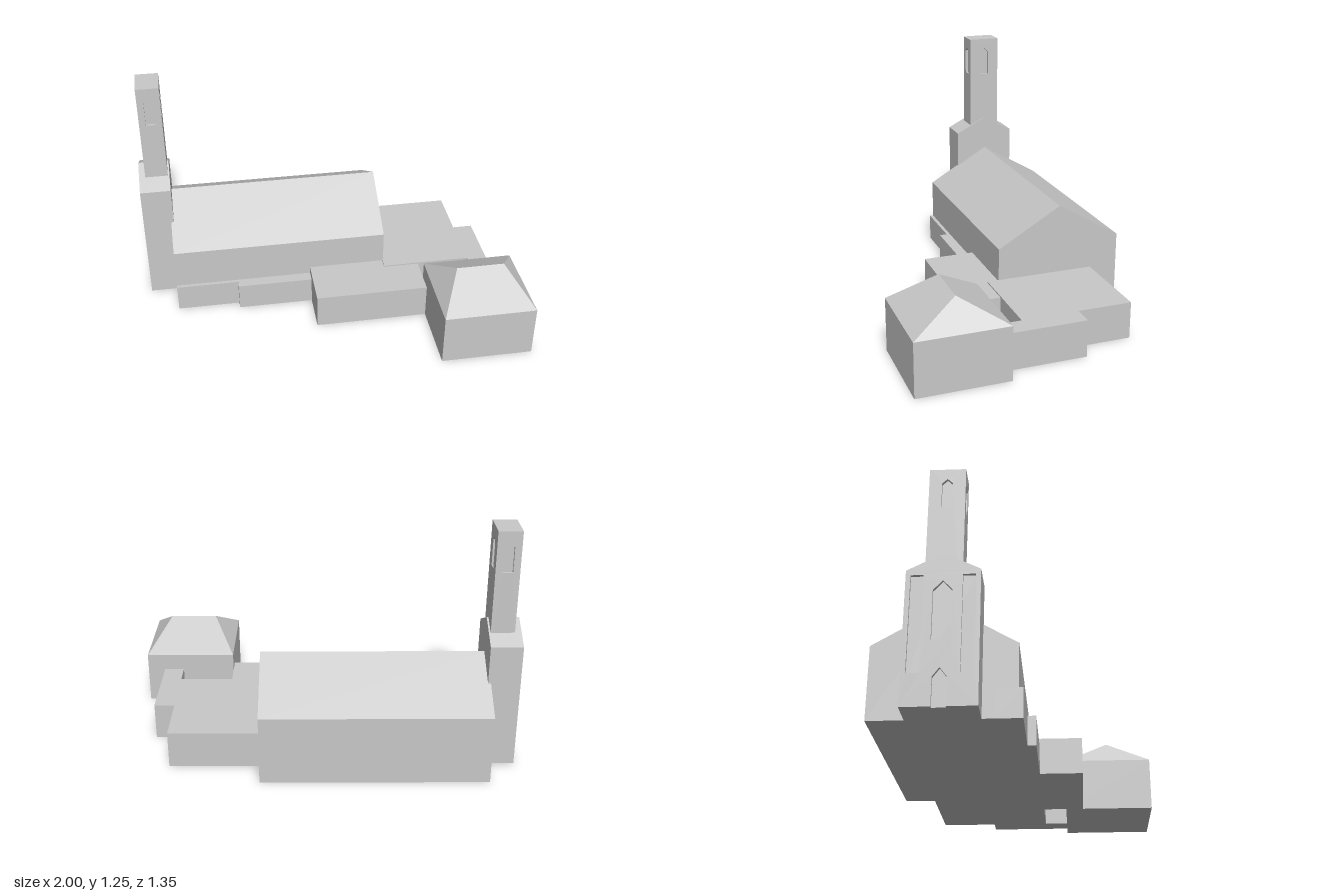
import * as THREE from 'three';
import { ConvexGeometry } from 'three/addons/geometries/ConvexGeometry.js';

const RECESS = 0.015;

export function createModel() {
  const model = new THREE.Group();
  model.name = 'church';
  const stone = new THREE.MeshStandardMaterial({ color: 0xc8c8c8 });
  stone.name = 'pale grey stone';

  const add = (name, geometry, parent = model) => {
    const mesh = new THREE.Mesh(geometry, stone);
    mesh.name = name;
    parent.add(mesh);
    return mesh;
  };

  // box given by its extents on each axis
  const block = (name, x0, x1, y0, y1, z0, z1, parent) =>
    add(name, new THREE.BoxGeometry(x1 - x0, y1 - y0, z1 - z0), parent)
      .position.set((x0 + x1) / 2, (y0 + y1) / 2, (z0 + z1) / 2);

  const outline = pts => pts.map(([a, b]) => new THREE.Vector2(a, b));

  // extrudes a (z, y) outline from xEnd towards -x
  const acrossX = (shape, xEnd, depth) =>
    new THREE.ExtrudeGeometry(shape, { depth, bevelEnabled: false })
      .rotateY(-Math.PI / 2).translate(xEnd, 0, 0);

  const gable = (z0, z1, eave, ridge) =>
    [[z0, 0], [z1, 0], [z1, eave], [(z0 + z1) / 2, ridge], [z0, eave]];

  const pointedArch = (c, halfWidth, y0, shoulder, top) => outline([
    [c - halfWidth, y0], [c + halfWidth, y0], [c + halfWidth, shoulder],
    [c, top], [c - halfWidth, shoulder]]);

  // nave with its pitched roof
  add('nave', acrossX(new THREE.Shape(outline(gable(-0.675, 0.01, 0.37, 0.572))), 0.32, 1.17));

  // tall entrance front, with a recessed outer layer
  const entrance = new THREE.Group();
  entrance.name = 'entranceFront';
  model.add(entrance);
  const z0 = -0.5, z1 = -0.155, mid = (z0 + z1) / 2;
  add('entranceBody', acrossX(new THREE.Shape(outline(gable(z0, z1, 0.675, 0.763))),
    -0.835, 0.165 - RECESS), entrance);
  const face = new THREE.Shape(outline([
    [z0, 0], [mid - 0.033, 0], [mid - 0.033, 0.14], [mid, 0.185], [mid + 0.033, 0.14],
    [mid + 0.033, 0], [z1, 0], [z1, 0.675], [mid, 0.763], [z0, 0.675]]));
  face.holes.push(new THREE.Path(pointedArch(mid, 0.045, 0.32, 0.57, 0.62)));
  for (const side of [-1, 1]) {
    const a = mid + side * 0.09, b = mid + side * 0.15;
    face.holes.push(new THREE.Path(outline([[a, 0.16], [b, 0.16], [b, 0.65], [a, 0.65]])));
  }
  add('entranceFace', acrossX(face, -1 + RECESS, RECESS), entrance);

  // bell tower: core wrapped by four panels with arched niches
  const tower = new THREE.Group();
  tower.name = 'bellTower';
  tower.position.set(-0.905, 0, -0.33);
  model.add(tower);
  const hx = 0.061, hz = 0.088, base = 0.6, top = 1.255;
  block('towerCore', -hx + RECESS, hx - RECESS, base, top, -hz + RECESS, hz - RECESS, tower);
  for (let i = 0; i < 4; i++) {
    const facesX = i % 2 === 1;
    const half = facesX ? hz - RECESS : hx;
    const panel = new THREE.Shape(outline([[-half, base], [half, base], [half, top], [-half, top]]));
    panel.holes.push(new THREE.Path(pointedArch(0, 0.026, 1.04, 1.175, 1.2)));
    const geometry = new THREE.ExtrudeGeometry(panel, { depth: RECESS, bevelEnabled: false })
      .translate(0, 0, (facesX ? hx : hz) - RECESS)
      .rotateY(i * Math.PI / 2);
    add('towerPanel', geometry, tower);
  }

  // low flat-roofed annexes
  block('frontAisle', -0.85, -0.51, 0, 0.15, -0.1, 0.03);
  block('steppedAisle', -0.51, -0.1, 0, 0.15, -0.1, 0.072);
  block('frontAnnex', -0.1, 0.51, 0, 0.19, -0.1, 0.29);
  block('sideAnnex', 0.315, 0.797, 0, 0.197, -0.52, 0.072);
  block('passage', 0.797, 0.905, 0, 0.197, -0.23, 0.2);

  // corner pavilion with a hipped roof
  const points = [];
  for (const x of [0.51, 1])
    for (const z of [0.197, 0.675])
      for (const y of [0, 0.285]) points.push(new THREE.Vector3(x, y, z));
  for (const x of [0.625, 0.88]) points.push(new THREE.Vector3(x, 0.424, 0.436));
  add('pavilion', new ConvexGeometry(points));

  return model;
}
